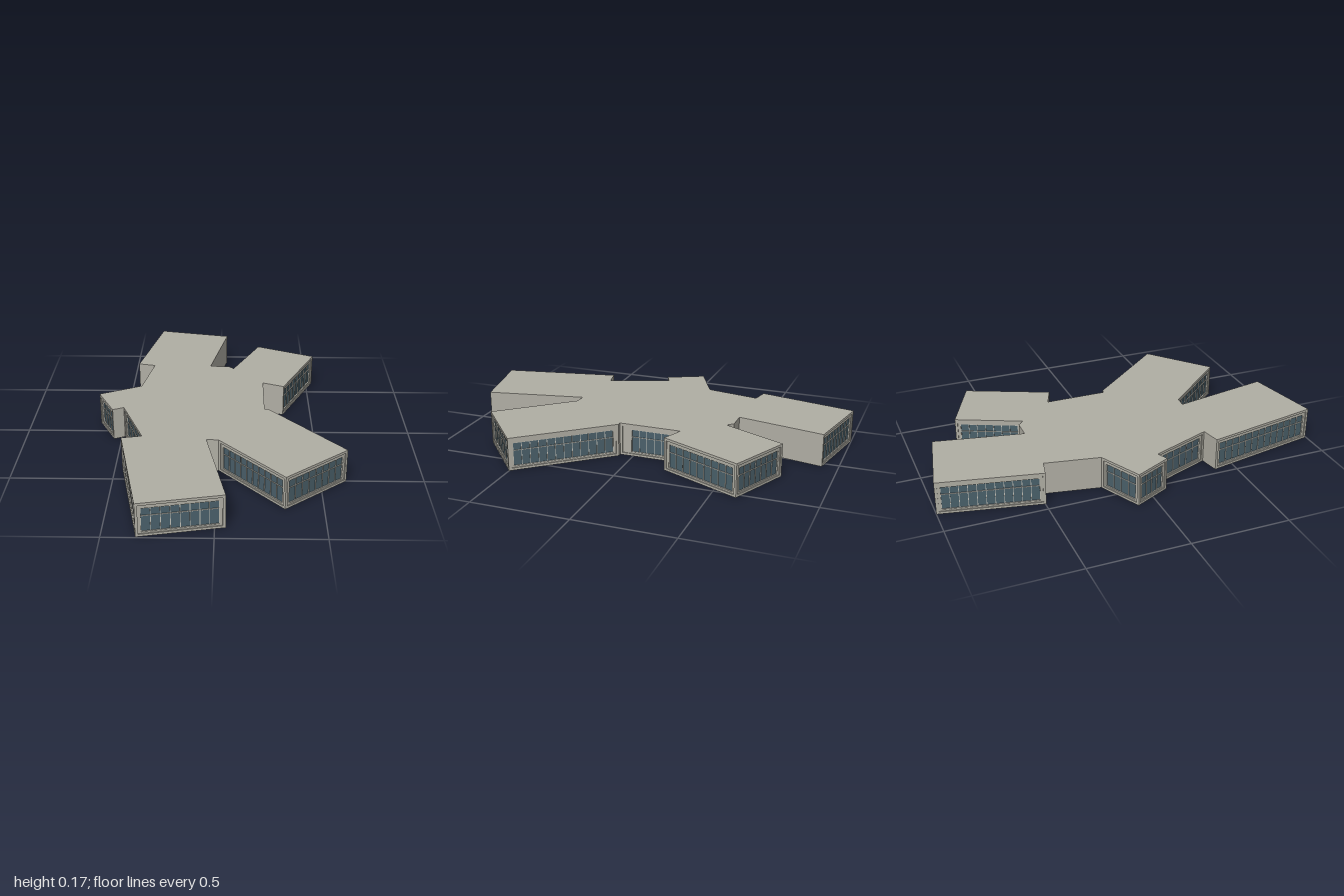
import * as THREE from 'three';

const H = 0.17;
const concrete = new THREE.MeshStandardMaterial({ color: 0xb0aea4 });
concrete.name = 'concrete';
const glass = new THREE.MeshStandardMaterial({ color: 0x4a606a });
glass.name = 'glass';
const frame = new THREE.MeshStandardMaterial({ color: 0xc2c2ba });
frame.name = 'window frame';

// Plan outline, clockwise from above: x, z, and the window margin of the wall
// that starts at this corner (0 = plain wall)
const PLAN = [
  // back wing
  [-0.35, -1.0, 0.027], [0.04, -0.92, 0], [-0.05, -0.47, 0],
  [0.05, -0.47, 0],
  // back right wing
  [0.08, -0.44, 0.027], [0.225, -0.76, 0.027], [0.535, -0.62, 0.027], [0.35, -0.205, 0],
  // hall, right wall
  [0.24, -0.25, 0.06], [0.24, 0.07, 0],
  // front right wing
  [0.26, 0.07, 0.027], [0.625, 0.5, 0.027], [0.32, 0.76, 0.027], [0.01, 0.41, 0],
  // front wing
  [-0.05, 0.405, 0], [0.05, 0.915, 0.027], [-0.345, 0.995, 0.027], [-0.465, 0.395, 0],
  // hall, left wall
  [-0.365, 0.375, 0.027], [-0.485, 0.065, 0],
  // entrance block
  [-0.54, 0.09, 0.027], [-0.63, -0.095, 0.027], [-0.415, -0.2, 0],
  [-0.365, -0.475, 0], [-0.455, -0.495, 0.027],
];

function add(parent, name, geometry, material, x = 0, y = 0, z = 0) {
  const mesh = new THREE.Mesh(geometry, material);
  mesh.name = name;
  mesh.position.set(x, y, z);
  parent.add(mesh);
}

// Rectangular wall panel with one rectangular opening
function panel(len, x0, x1, y0, y1, depth) {
  const shape = new THREE.Shape();
  shape.moveTo(0, 0).lineTo(len, 0).lineTo(len, H).lineTo(0, H).closePath();
  const hole = new THREE.Path();
  hole.moveTo(x0, y0).lineTo(x0, y1).lineTo(x1, y1).lineTo(x1, y0).closePath();
  shape.holes.push(hole);
  return new THREE.ExtrudeGeometry(shape, { depth, bevelEnabled: false });
}

function windowWall(wall, len, margin) {
  const x0 = margin, x1 = len - margin, y0 = 0.02, y1 = 0.14;
  const w = x1 - x0, h = y1 - y0, yc = (y0 + y1) / 2;
  // outer border, then the stepped-back wall around the glazing
  add(wall, 'wallBorder', panel(len, 0.013, len - 0.013, 0.012, 0.157, 0.005), concrete, 0, 0, -0.005);
  add(wall, 'wallPanel', panel(len, x0, x1, y0, y1, 0.006), concrete, 0, 0, -0.011);
  add(wall, 'glazing', new THREE.PlaneGeometry(w, h), glass, len / 2, yc, -0.011);
  // mullions and rails
  const panes = Math.max(2, Math.round(w / 0.043));
  for (let i = 0; i <= panes; i++) {
    add(wall, 'mullion', new THREE.BoxGeometry(0.003, h, 0.004), frame, x0 + (w * i) / panes, yc, -0.009);
  }
  for (const y of [y0, 0.1, y1]) {
    add(wall, 'rail', new THREE.BoxGeometry(w, 0.003, 0.004), frame, len / 2, y, -0.009);
  }
}

// Flat slab face following the plan, facing up or down
function slab(up) {
  const s = up ? -1 : 1;
  const shape = new THREE.Shape(PLAN.map(([x, z]) => new THREE.Vector2(x, s * z)));
  return new THREE.ShapeGeometry(shape).rotateX((s * Math.PI) / 2);
}

export function createModel() {
  const model = new THREE.Group();
  model.name = 'building';
  add(model, 'roof', slab(true), concrete, 0, H, 0);
  add(model, 'floor', slab(false), concrete);

  // one wall per side of the plan, local z pointing outwards
  PLAN.forEach(([ax, az, margin], i) => {
    const [bx, bz] = PLAN[(i + 1) % PLAN.length];
    const dx = bx - ax, dz = bz - az, len = Math.hypot(dx, dz);
    const wall = new THREE.Group();
    wall.name = margin ? 'windowWall' : 'plainWall';
    wall.position.set(bx, 0, bz);
    wall.rotation.y = Math.atan2(dz, -dx);
    if (margin) windowWall(wall, len, margin);
    else add(wall, 'wallFace', new THREE.PlaneGeometry(len, H), concrete, len / 2, H / 2, 0);
    model.add(wall);
  });
  return model;
}
